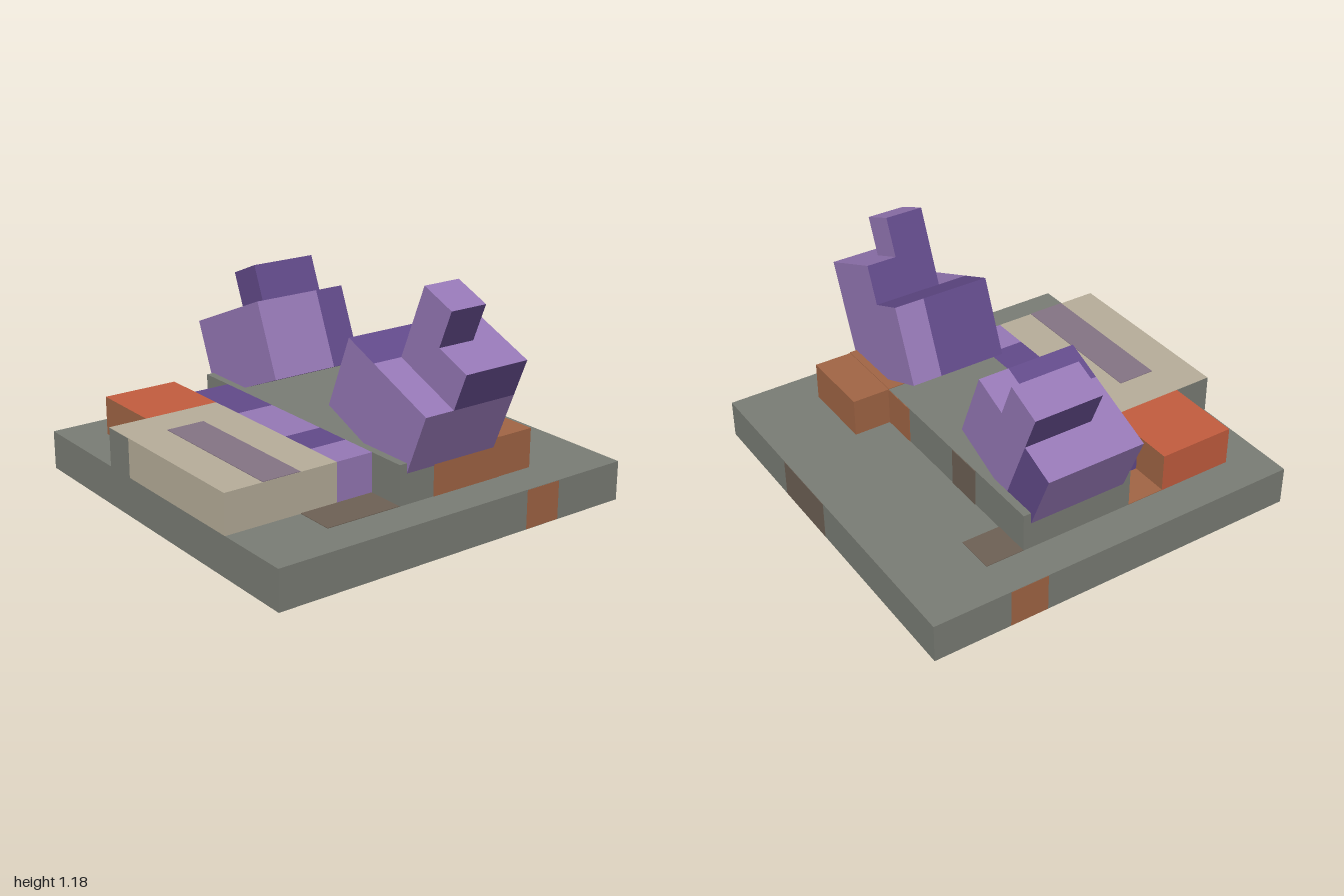
import * as THREE from 'three';

const mat = (name, color) => {
  const m = new THREE.MeshStandardMaterial({ color });
  m.name = name;
  return m;
};

export function createModel() {
  const stone = mat('grey stone', 0x7b7e76);
  const sand = mat('sand', 0xb8af9b);
  const rust = mat('rust orange', 0xa36645);
  const red = mat('bright rust', 0xc45d3f);
  const brown = mat('dull brown', 0x6f6256);
  const mauve = mat('mauve', 0x867585);
  const lilac = mat('light purple', 0x9779b7);
  const violet = mat('dark purple', 0x634b8b);

  const model = new THREE.Group();
  model.name = 'crystalPlatform';

  // Box from its limits; faces may override single sides (px, nx, py, ny, pz, nz)
  const block = (parent, name, [x0, x1], [y0, y1], [z0, z1], base, faces = {}) => {
    const geo = new THREE.BoxGeometry(x1 - x0, y1 - y0, z1 - z0);
    const mats = ['px', 'nx', 'py', 'ny', 'pz', 'nz'].map((k) => faces[k] || base);
    const mesh = new THREE.Mesh(geo, Object.keys(faces).length ? mats : base);
    mesh.position.set((x0 + x1) / 2, (y0 + y1) / 2, (z0 + z1) / 2);
    mesh.name = name;
    parent.add(mesh);
    return mesh;
  };
  const T = 0.003; // thickness of painted plates
  const over = (v) => [v - T, v + T];

  // Stepped stone platform
  block(model, 'base', [-1, 1], [0, 0.2], [-1, 1], stone);
  block(model, 'upperSlab', [-0.8, 0.8], [0.2, 0.4], [-0.4, 0.2], stone);

  // Sand ledge at the front, with a stone end and a mauve streak
  block(model, 'sandLedge', [-0.4, 0.6], [0.2, 0.4], [0.4, 1], sand, { nx: stone });
  block(model, 'ledgeStoneEnd', [-0.4, -0.22], [0.2, 0.398], over(0.998), stone);
  block(model, 'ledgeStreak', [-0.2, 0.599], over(0.4), [0.6, 0.8], mauve);

  // Row of purple blocks between slab and ledge
  [[-0.6, -0.2, violet], [-0.2, 0.2, lilac], [0.2, 0.4, violet], [0.4, 0.6, lilac]]
    .forEach(([a, b, m]) => block(model, 'purpleRow', [a, b], [0.2, 0.4], [0.2, 0.4], m));

  // Rusty blocks
  block(model, 'frontRustBlock', [-0.8, -0.4], [0.2, 0.4], [0.4, 0.8], rust, { py: red, nx: red });
  block(model, 'backRustBlock', [0.4, 0.8], [0.2, 0.4], [-0.6, -0.4], rust);
  block(model, 'rustSlabSide', [0.4, 0.8 + T], [0.2, 0.4 + T], [-0.4, 0], rust);

  // Stains on the platform faces
  block(model, 'topStain', [-0.8, -0.6], over(0.2), [-0.6, -0.4], brown);
  block(model, 'topStain', [0.6, 0.8], over(0.2), [0.2, 0.6], brown);
  block(model, 'topRust', [-0.8, -0.6], over(0.2), [0.2, 0.4], rust);
  block(model, 'sideRust', over(1 - T / 2), [0.002, 0.198], [-0.6, -0.4], rust);
  block(model, 'sideRust', over(-1 + T / 2), [0.002, 0.198], [-0.6, -0.4], rust);
  block(model, 'backStain', [0, 0.4], [0.002, 0.198], over(-1 + T / 2), brown);
  block(model, 'slabRust', [0.2, 0.4], [0.2, 0.398], over(-0.4), rust);
  block(model, 'slabStain', [-0.4, -0.2], [0.2, 0.398], over(-0.4), brown);
  [[[0, 0.6], [0.2, 0.4]], [[-0.6, -0.2], [-0.4, -0.2]], [[-0.6, -0.4], [-0.2, 0.4]]]
    .forEach(([x, z]) => block(model, 'undersideStain', x, [-0.002, 0.002], z, brown));

  // Tilted crystals: local x runs along the top edge, local y = 0 is the body top
  const crystal = (name, x, y, tilt) => {
    const g = new THREE.Group();
    g.name = name;
    g.position.set(x, y, 0);
    g.rotation.z = tilt;
    model.add(g);
    return g;
  };
  const zBack = -0.36, zFront = 0.16;

  // Right crystal: body with a dark left end, cut where its colours change
  const rightOne = crystal('rightCrystal', -0.93, 0.655, Math.PI / 8);
  block(rightOne, 'body', [0, 0.2], [-0.4, 0], [zBack, zFront], lilac, { nz: violet });
  block(rightOne, 'body', [0.2, 0.4], [-0.4, 0], [zBack, zFront], lilac);
  block(rightOne, 'bodyBackEnd', [0.4, 0.6], [-0.4, 0], [zBack, -0.2], lilac, { px: violet });
  block(rightOne, 'bodyFrontEnd', [0.4, 0.6], [-0.4, 0], [-0.2, zFront], lilac, { py: violet });
  block(rightOne, 'topBlock', [0.2, 0.4], [0, 0.2], [zBack, 0], violet, { py: lilac, nz: lilac });

  // Left crystal: body with two steps
  const leftOne = crystal('leftCrystal', 0.37, 0.88, -Math.PI / 8);
  block(leftOne, 'bodyBackEnd', [0, 0.2], [-0.4, 0], [zBack, -0.2], lilac, { py: violet });
  block(leftOne, 'bodyFrontEnd', [0, 0.2], [-0.4, 0], [-0.2, zFront], lilac, { py: violet, nx: violet });
  block(leftOne, 'body', [0.2, 0.6], [-0.4, 0], [zBack, zFront], lilac);
  block(leftOne, 'step', [0.2, 0.6], [0, 0.2], [zBack, 0], lilac, { px: violet, nx: violet });
  block(leftOne, 'tip', [0.2, 0.4], [0.2, 0.4], [-0.2, 0], lilac, { px: violet, nx: violet });

  return model;
}
